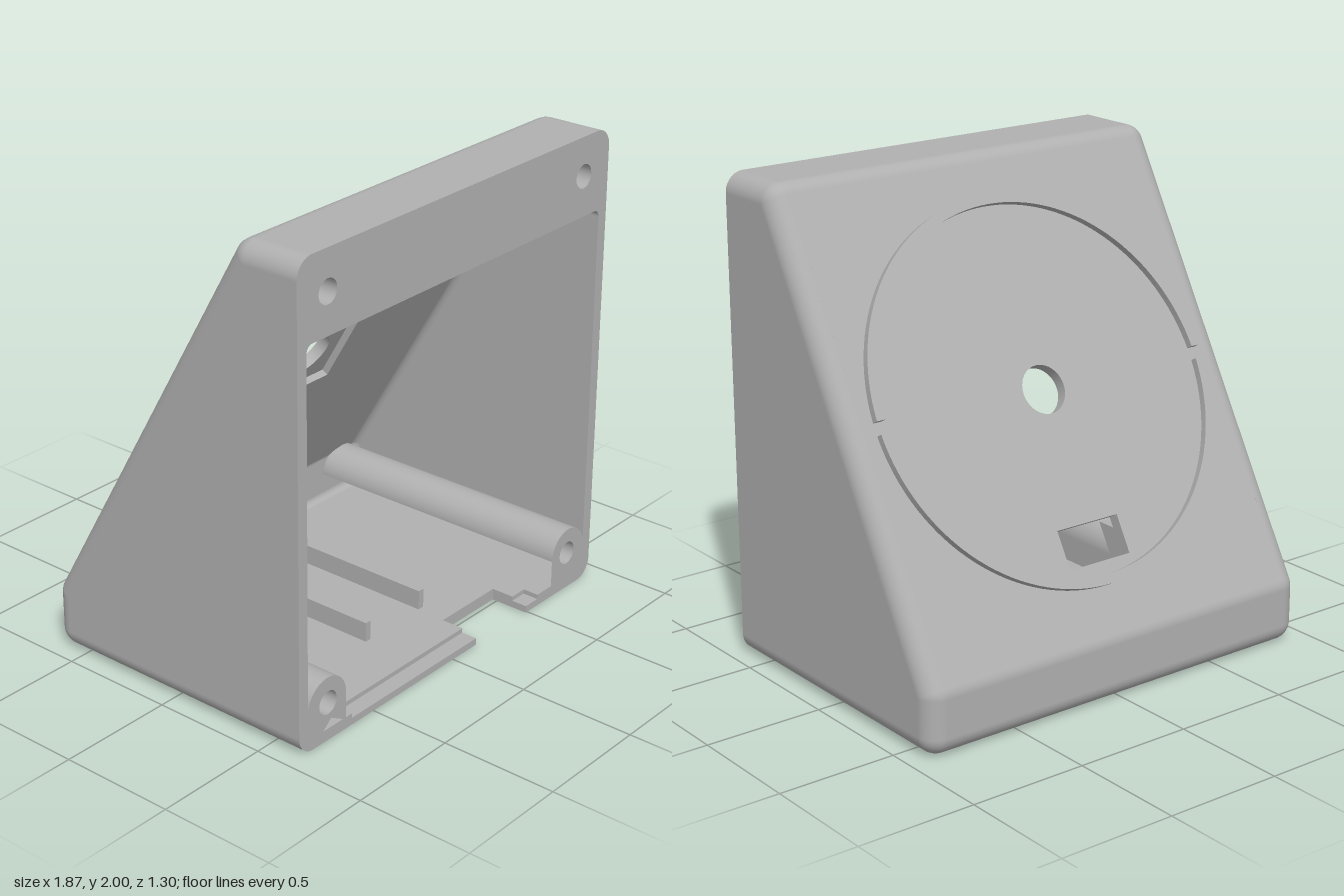
import * as THREE from 'three';

const W = 0.855, FRONT = 0.65, PI = Math.PI, TAN = Math.tan(PI / 3);

// Rounded wedge surface: a core outline in the z-y plane swept round by radius r,
// open at the front and in the middle of the slope and floor (panels fill those).
function wedge(r, top, inward) {
  const slopeZ = y => 0.355 + 0.08 * 2 / Math.sqrt(3) - (2 - y) / TAN;
  const cols = [];
  const corner = (z, y, a0, a1, n) => {
    for (let i = 0; i <= n; i++) cols.push([z, y, (a0 + (a1 - a0) * i / n) * PI / 180]);
  };
  corner(FRONT, top, 90, 90, 1);
  cols.pop();
  corner(slopeZ(top), top, 90, 150, 6);
  const slopeCol = cols.length - 1;
  corner(-0.57, 0.238, 150, 180, 4);
  corner(-0.57, 0.08, 180, 270, 8);
  const floorCol = cols.length - 1;
  cols.push([FRONT, 0.08, 1.5 * PI]);

  const rows = [], H = 8, N = cols.length, s = inward ? -1 : 1;
  for (let i = 0; i <= H; i++) rows.push([-W, (i / H - 1) * PI / 2]);
  for (let i = 0; i <= H; i++) rows.push([W, i / H * PI / 2]);
  const pos = [], nor = [], idx = [];
  for (const [x, t] of rows) {
    for (const [z, y, a] of cols) {
      const n = [Math.sin(t), Math.cos(t) * Math.sin(a), Math.cos(t) * Math.cos(a)];
      pos.push(x + r * n[0], y + r * n[1], z + r * n[2]);
      nor.push(s * n[0], s * n[1], s * n[2]);
    }
  }
  const tri = (a, b, c) => (inward ? idx.push(a, c, b) : idx.push(a, b, c));
  for (let j = 0; j < rows.length - 1; j++) {
    for (let i = 0; i < N - 1; i++) {
      if (j === H && (i === slopeCol || i === floorCol)) continue;
      const a = j * N + i, b = a + N;
      tri(a, b, b + 1);
      tri(a, b + 1, a + 1);
    }
  }
  // flat sides
  const last = (rows.length - 1) * N;
  for (let i = 1; i < N - 1; i++) {
    tri(0, i, i + 1);
    tri(last, last + i + 1, last + i);
  }
  const g = new THREE.BufferGeometry();
  g.setAttribute('position', new THREE.Float32BufferAttribute(pos, 3));
  g.setAttribute('normal', new THREE.Float32BufferAttribute(nor, 3));
  g.setIndex(idx);
  return g;
}

const poly = pts => new THREE.Shape(pts.map(p => new THREE.Vector2(p[0], p[1])));
const rect = (x0, y0, x1, y1) => poly([[x0, y0], [x1, y0], [x1, y1], [x0, y1]]);
const circle = (x, y, r) => new THREE.Path().absarc(x, y, r, 0, 2 * PI, false);
const extrude = (shape, depth) =>
  new THREE.ExtrudeGeometry(shape, { depth, bevelEnabled: false, curveSegments: 32 });

export function createModel() {
  const model = new THREE.Group();
  const grey = new THREE.MeshStandardMaterial({ color: 0xb0b0b0, side: THREE.DoubleSide });
  grey.name = 'grey plastic';
  const add = (name, geometry, parent = model) => {
    const m = new THREE.Mesh(geometry, grey);
    m.name = name;
    parent.add(m);
    return m;
  };

  // Housing skin and cavity
  add('outerShell', wedge(0.08, 1.92, false));
  add('innerCavity', wedge(0.03, 1.635, true));

  // Front rim, open at the floor, stepping round the two lower bosses
  const rim = new THREE.Shape();
  rim.moveTo(-0.665, 0);
  rim.absarc(-W, 0.08, 0.08, -PI / 2, -PI, true);
  rim.absarc(-W, 1.92, 0.08, PI, PI / 2, true);
  rim.absarc(W, 1.92, 0.08, PI / 2, 0, true);
  rim.absarc(W, 0.08, 0.08, 0, -PI / 2, true);
  rim.lineTo(0.665, 0);
  rim.absarc(0.775, 0.165, 0.11, PI, 0, true);
  rim.absarc(W, 1.635, 0.03, 0, PI / 2, false);
  rim.absarc(-W, 1.635, 0.03, PI / 2, PI, false);
  rim.absarc(-0.775, 0.165, 0.11, PI, 0, true);
  for (const x of [-0.77, 0.77]) for (const y of [0.165, 1.835]) rim.holes.push(circle(x, y, 0.05));
  add('frontRim', new THREE.ShapeGeometry(rim, 24)).position.z = FRONT;

  // Screw bosses and upper screw holes
  for (const side of [-1, 1]) {
    const b = new THREE.Shape();
    b.moveTo(side * 0.775 - 0.11, 0.04);
    b.absarc(side * 0.775, 0.165, 0.11, PI, 0, true);
    b.lineTo(side * 0.775 + 0.11, 0.04);
    b.holes.push(circle(side * 0.77, 0.165, 0.05));
    add('screwBoss', extrude(b, FRONT + 0.6)).position.z = -0.6;

    const hole = add('screwHole', new THREE.CylinderGeometry(0.05, 0.05, 0.25, 32, 1, true).rotateX(PI / 2));
    hole.position.set(side * 0.77, 1.835, FRONT - 0.125);
    add('screwHoleEnd', new THREE.CircleGeometry(0.05, 32)).position.set(side * 0.77, 1.835, FRONT - 0.25);
  }

  // Floor in two layers: cable notch through both, lid step in the upper one
  const f = -FRONT, notch = f + 0.17, step = f + 0.07;
  const lower = poly([[-W, f], [0.15, f], [0.15, notch], [0.49, notch], [0.49, f], [W, f], [W, 0.57], [-W, 0.57]]);
  const upper = poly([[-W, f], [-0.63, f], [-0.63, step], [0.15, step], [0.15, notch], [0.49, notch],
    [0.49, step], [0.57, step], [0.57, f], [W, f], [W, 0.57], [-W, 0.57]]);
  add('floor', extrude(lower, 0.03).rotateX(-PI / 2));
  add('floorUpperLayer', extrude(upper, 0.02).rotateX(-PI / 2)).position.y = 0.03;

  // Sloping panel group: local y runs up the slope, local z points outward
  const slope = new THREE.Group();
  slope.name = 'slopingBack';
  const c = Math.cos(PI / 3), s = Math.sin(PI / 3);
  slope.quaternion.setFromRotationMatrix(new THREE.Matrix4().makeBasis(
    new THREE.Vector3(-1, 0, 0), new THREE.Vector3(0, s, c), new THREE.Vector3(0, c, -s)));
  slope.position.set(0, 1.142, -0.1404);
  model.add(slope);

  const panel = rect(-W, -0.9977, W, 0.9446);
  panel.holes.push(circle(0, 0, 0.1), rect(-0.15, -0.71, 0.15, -0.55));
  add('slopePanel', extrude(panel, 0.05), slope).position.z = -0.05;

  // Locating ring in two halves
  for (const turn of [0, PI]) {
    const half = new THREE.Shape();
    half.absarc(0, 0, 0.805, 0.032, PI - 0.032, false);
    half.absarc(0, 0, 0.765, PI - 0.034, 0.034, true);
    add('ringHalf', extrude(half, 0.03), slope).rotation.z = turn;
  }

  // Square frame round the hole on the inside
  const frame = rect(-0.2, -0.2, 0.2, 0.2);
  frame.holes.push(rect(-0.17, -0.17, 0.17, 0.17));
  add('innerSquareFrame', extrude(frame, 0.03), slope).position.z = -0.08;

  // Guide rails along the floor and up the slope to the slot
  const rail = poly([[0.35, 0.04], [0.35, 0.135], [-0.52, 0.135], [-0.52, 0.225], [-0.303, 0.6],
    [-0.407, 0.6], [-0.62, 0.23], [-0.62, 0.04]].map(([z, y]) => [-z, y]));
  for (const x of [-0.185, 0.155]) {
    add('guideRail', extrude(rail, 0.03).rotateY(PI / 2)).position.x = x;
  }
  return model;
}
